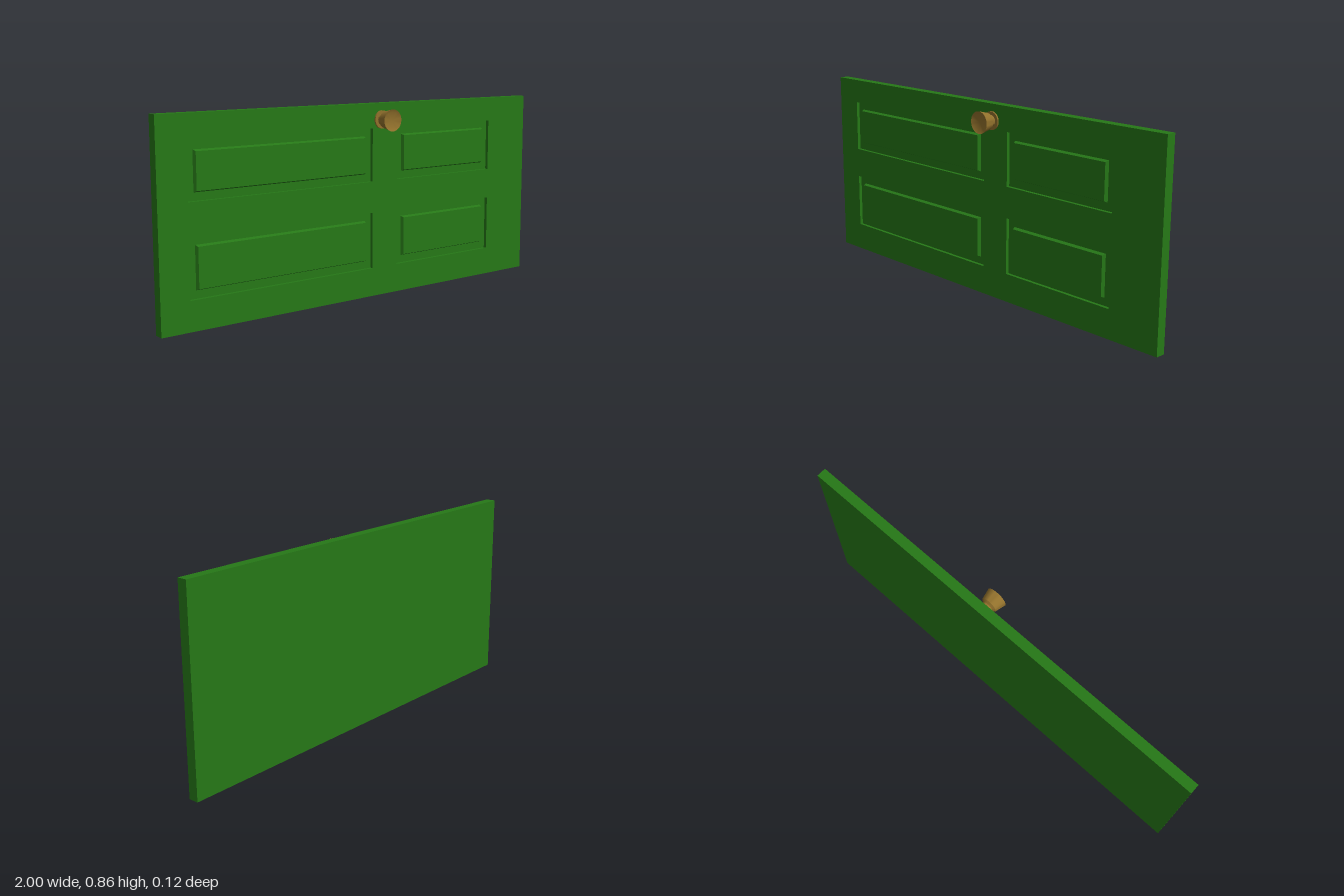
import * as THREE from 'three';
import { toCreasedNormals } from 'three/addons/utils/BufferGeometryUtils.js';

const BACK = -0.06, FLOOR = -0.031, FRONT = -0.016, HEIGHT = 0.86;
const COLUMNS = [[-0.87, 0.043], [0.184, 0.757]];
const ROWS = [[0.127, 0.377], [0.516, 0.751]];

function rectangle(path, x0, x1, y0, y1) {
  path.moveTo(x0, y0);
  path.lineTo(x1, y0);
  path.lineTo(x1, y1);
  path.lineTo(x0, y1);
  path.closePath();
  return path;
}

// Raised field with steep sloping sides: a box whose front corners move inward
function raisedPanel(w, h, d, slope) {
  const geo = new THREE.BoxGeometry(w, h, d);
  const p = geo.attributes.position;
  for (let i = 0; i < p.count; i++) {
    if (p.getZ(i) > 0) {
      p.setX(i, p.getX(i) - Math.sign(p.getX(i)) * slope);
      p.setY(i, p.getY(i) - Math.sign(p.getY(i)) * slope);
    }
  }
  geo.computeVertexNormals();
  return geo;
}

export function createModel() {
  const group = new THREE.Group();
  const paint = new THREE.MeshStandardMaterial({ color: 0x267817 });
  const brass = new THREE.MeshStandardMaterial({ color: 0x92712c });

  const add = (name, geo, material, x, y, z) => {
    const mesh = new THREE.Mesh(geo, material);
    mesh.name = name;
    mesh.position.set(x, y, z);
    group.add(mesh);
    return mesh;
  };

  // Door slab behind the recesses
  add('doorSlab', new THREE.BoxGeometry(2, HEIGHT, FLOOR - BACK), paint,
    0, HEIGHT / 2, (FLOOR + BACK) / 2);

  // Front frame with four openings, each holding a raised panel
  const frame = rectangle(new THREE.Shape(), -1, 1, 0, HEIGHT);
  const inset = 0.034, slope = 0.006, rise = FRONT - FLOOR;
  for (const [x0, x1] of COLUMNS) {
    for (const [y0, y1] of ROWS) {
      frame.holes.push(rectangle(new THREE.Path(), x0, x1, y0, y1));
      add('raisedPanel', raisedPanel(x1 - x0 - 2 * inset, y1 - y0 - 2 * inset, rise, slope),
        paint, (x0 + x1) / 2, (y0 + y1) / 2, FLOOR + rise / 2);
    }
  }
  add('doorFrame', new THREE.ExtrudeGeometry(frame, { depth: rise, bevelEnabled: false }),
    paint, 0, 0, FLOOR);

  // Knob: backplate, neck, flared head and slightly dished face
  const profile = [
    [0, -0.016], [0.04, -0.016], [0.04, -0.009], [0.025, -0.009], [0.025, 0.005],
    [0.029, 0.008], [0.037, 0.013], [0.048, 0.061], [0.036, 0.055], [0, 0.055],
  ].map(([r, z]) => new THREE.Vector2(r, z));
  const knob = add('doorKnob', toCreasedNormals(new THREE.LatheGeometry(profile, 32), 0.5),
    brass, 0.093, 0.788, 0);
  knob.rotation.x = Math.PI / 2;

  return group;
}
